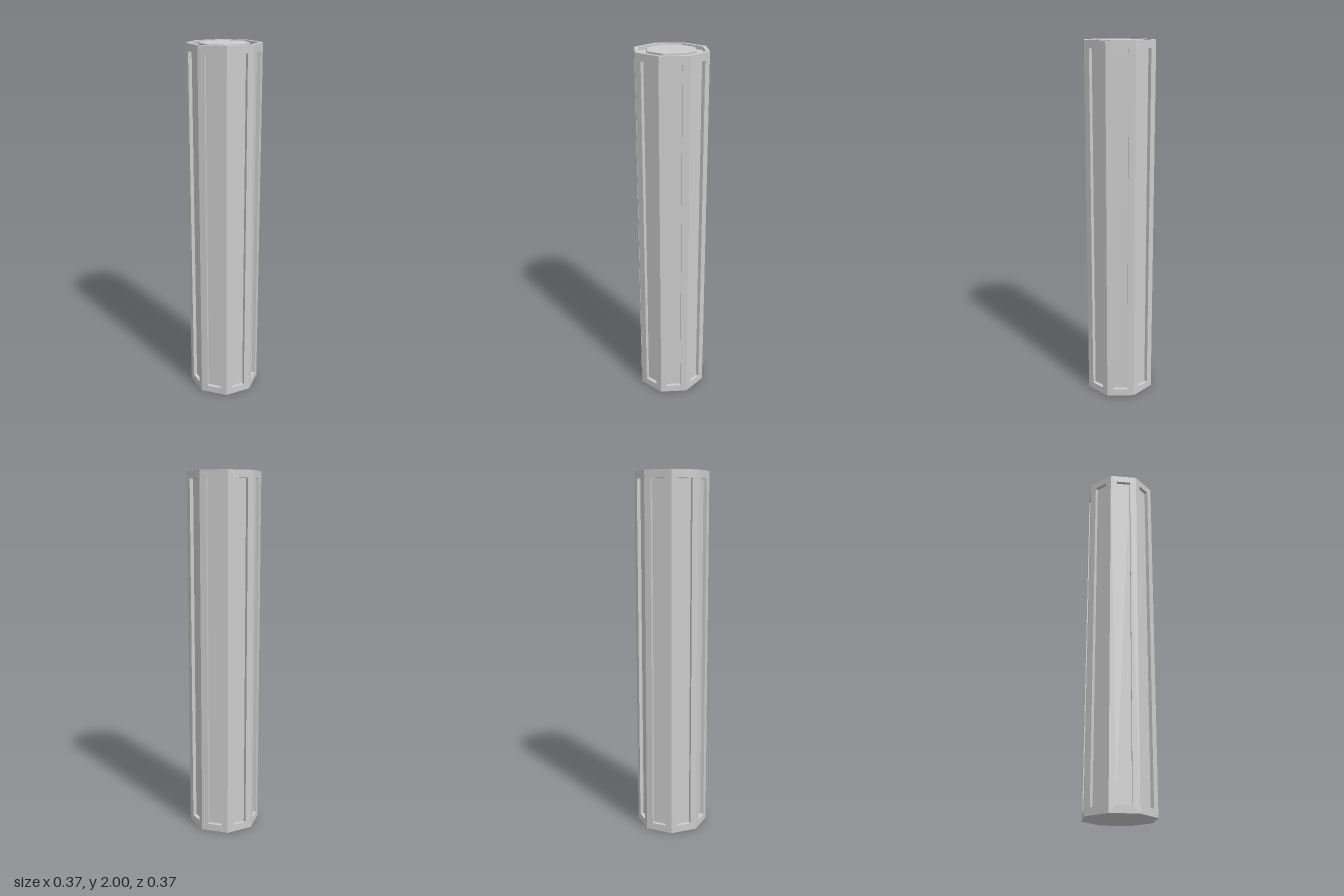
import * as THREE from 'three';

const SIDES = 8, HEIGHT = 2, APOTHEM = 0.185, DEPTH = 0.02;
const HALF = Math.PI / SIDES;

// Joins matching counter-clockwise loops with quads, then closes the last loop
function loft(loops) {
  const pos = [];
  const tri = (...pts) => pts.forEach((p) => pos.push(...p));
  const n = loops[0].length;
  for (let k = 0; k < loops.length - 1; k++) {
    const a = loops[k], b = loops[k + 1];
    for (let i = 0; i < n; i++) {
      const j = (i + 1) % n;
      tri(a[i], a[j], b[j]);
      tri(a[i], b[j], b[i]);
    }
  }
  const end = loops[loops.length - 1];
  for (let i = 1; i < n - 1; i++) tri(end[0], end[i], end[i + 1]);
  const geo = new THREE.BufferGeometry();
  geo.setAttribute('position', new THREE.Float32BufferAttribute(pos, 3));
  geo.computeVertexNormals();
  return geo;
}

// Upright rectangle at distance z from the axis
const rect = (w, y0, y1, z) => [[-w, y0, z], [w, y0, z], [w, y1, z], [-w, y1, z]];

// Level octagon of a given apothem, with a flat side to the front
function octagon(apothem, y) {
  const r = apothem / Math.cos(HALF);
  return Array.from({ length: SIDES }, (_, i) => {
    const a = HALF * (2 * i + 1);
    return [r * Math.sin(a), y, r * Math.cos(a)];
  });
}

export function createModel() {
  const group = new THREE.Group();
  group.name = 'octagonalColumn';
  const material = new THREE.MeshStandardMaterial({ color: 0xcccccc, flatShading: true });
  const add = (name, geometry) => {
    const mesh = new THREE.Mesh(geometry, material);
    mesh.name = name;
    group.add(mesh);
    return mesh;
  };

  // Eight sides, each with a long sunken panel
  const side = loft([
    rect(APOTHEM * Math.tan(HALF), 0, HEIGHT, APOTHEM),
    rect(0.04, 0.04, HEIGHT - 0.04, APOTHEM),
    rect(0.04, 0.04, HEIGHT - 0.04, APOTHEM - DEPTH),
  ]);
  for (let i = 0; i < SIDES; i++) {
    add('sidePanel' + (i + 1), side).rotation.y = 2 * HALF * i;
  }

  // Top: rim, groove and raised centre
  add('groovedTop', loft([
    octagon(APOTHEM, HEIGHT),
    octagon(0.165, HEIGHT),
    octagon(0.165, HEIGHT - DEPTH),
    octagon(0.124, HEIGHT - DEPTH),
    octagon(0.124, HEIGHT),
  ]));

  // Plain underside
  const base = new THREE.CircleGeometry(APOTHEM / Math.cos(HALF), SIDES, HALF);
  add('base', base.rotateX(Math.PI / 2));

  return group;
}
